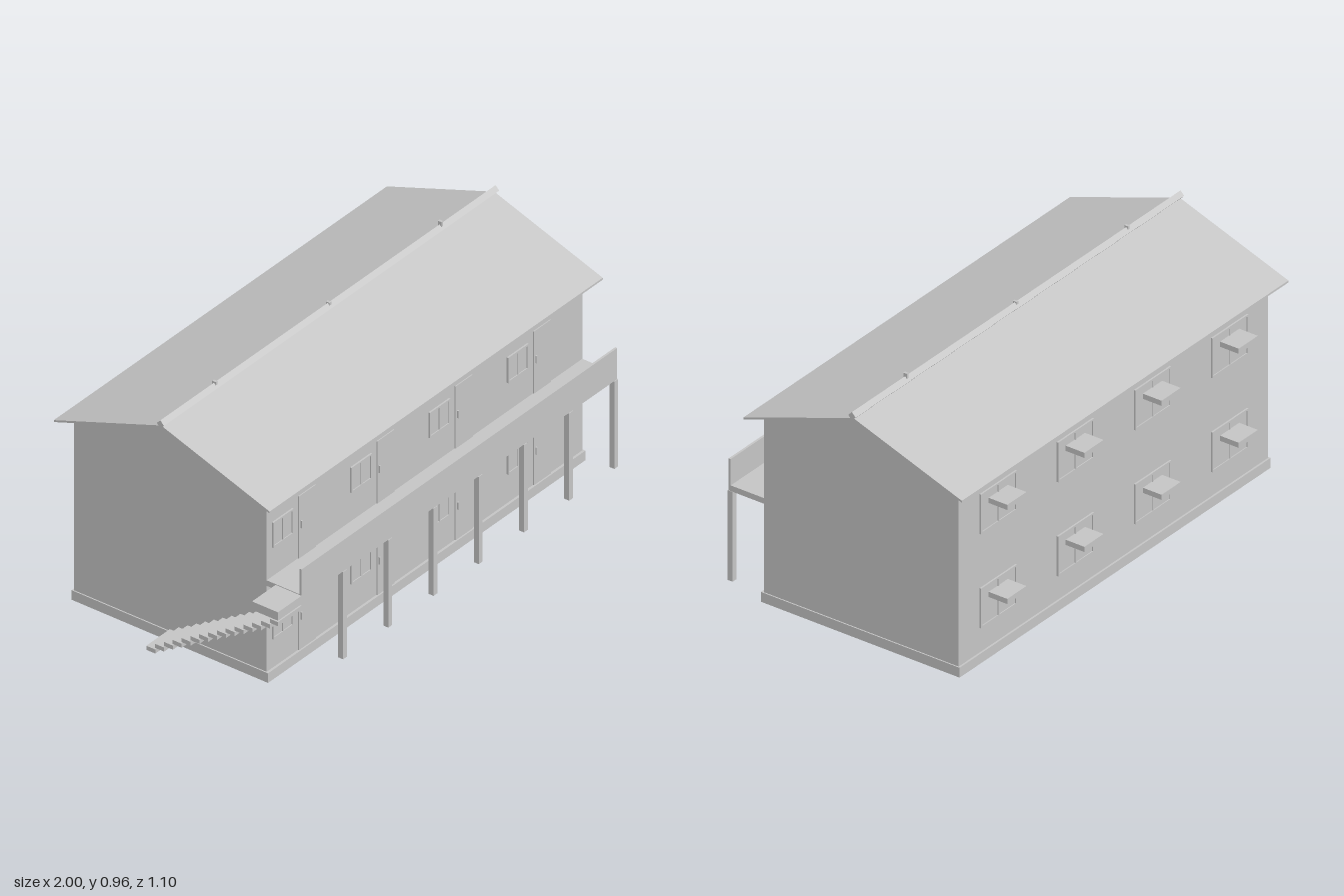
import * as THREE from 'three';

export function createModel() {
  const model = new THREE.Group();
  const grey = new THREE.MeshStandardMaterial({ color: 0xc4c4c4 });
  grey.name = 'plain grey';

  const add = (name, geometry) => {
    const mesh = new THREE.Mesh(geometry, grey);
    mesh.name = name;
    model.add(mesh);
    return mesh;
  };
  // box given by its limits on each axis
  const box = (name, x0, x1, y0, y1, z0, z1) => {
    const g = new THREE.BoxGeometry(x1 - x0, y1 - y0, z1 - z0);
    g.translate((x0 + x1) / 2, (y0 + y1) / 2, (z0 + z1) / 2);
    return add(name, g);
  };
  // outline in (z, y) swept along x
  const sweep = (name, points, x0, x1) => {
    const shape = new THREE.Shape(points.map(([z, y]) => new THREE.Vector2(z, y)));
    const g = new THREE.ExtrudeGeometry(shape, { depth: x1 - x0, bevelEnabled: false });
    g.rotateY(-Math.PI / 2);
    g.translate(x1, 0, 0);
    return add(name, g);
  };
  // four thin bars and a centre mullion around a pane
  const windowUnit = (name, cx, w, y0, y1, zWall, out) => {
    const t = 0.007;
    const bar = (part, x0, x1, b, c, d) => {
      const z = zWall + out * d;
      box(name + part, x0, x1, b, c, Math.min(zWall, z), Math.max(zWall, z));
    };
    const l = cx - w / 2, r = cx + w / 2;
    bar('Pane', l + t, r - t, y0 + t, y1 - t, 0.003);
    bar('FrameLeft', l, l + t, y0, y1, 0.007);
    bar('FrameRight', r - t, r, y0, y1, 0.007);
    bar('FrameBottom', l + t, r - t, y0, y0 + t, 0.007);
    bar('FrameTop', l + t, r - t, y1 - t, y1, 0.007);
    bar('Mullion', cx - t / 2, cx + t / 2, y0 + t, y1 - t, 0.006);
  };

  // plinth and gabled walls
  box('plinth', -0.87, 0.945, 0, 0.04, -0.473, 0.4);
  sweep('walls', [[0.39, 0.02], [0.39, 0.764], [-0.04, 0.915], [-0.465, 0.765], [-0.465, 0.02]], -0.865, 0.94);

  // roof slabs, ridge cap and ridge studs
  sweep('roof', [
    [0.442, 0.749], [0.442, 0.757], [-0.04, 0.925], [-0.517, 0.757],
    [-0.517, 0.749], [-0.04, 0.916],
  ], -0.915, 0.99);
  sweep('ridgeCap', [[-0.022, 0.934], [-0.038, 0.951], [-0.054, 0.934], [-0.038, 0.917]], -0.922, 0.995);
  [[-0.61, 0.956], [0.04, 0.954], [0.68, 0.963]].forEach(([x, top]) =>
    box('ridgeStud', x - 0.005, x + 0.005, 0.935, top, -0.046, -0.03));

  // balcony and its posts
  box('balconySlab', -0.865, 0.94, 0.4, 0.423, 0.39, 0.545);
  box('balconyParapet', -0.865, 0.94, 0.423, 0.53, 0.536, 0.545);
  for (let i = 0; i < 7; i++) {
    const x = -0.62 + i * 0.2585;
    box('balconyPost', x - 0.011, x + 0.011, 0.035, 0.4, 0.526, 0.548);
  }

  // side landing and open stair
  box('stairLanding', -1, -0.865, 0.385, 0.42, 0.43, 0.545);
  for (let i = 0; i < 15; i++) {
    const z = -0.02 + i * 0.0392, y = 0.038 + i * 0.0237;
    box('stairTread', -1, -0.865, y - 0.008, y + 0.009, z - 0.02, Math.min(z + 0.02, 0.545));
  }

  // each floor has four bays on the front and back
  [0, 0.383].forEach((floor) => {
    for (let i = 0; i < 4; i++) {
      const fx = -0.777 + i * 0.4477;
      windowUnit('frontWindow', fx, 0.117, 0.162 + floor, 0.268 + floor, 0.39, 1);
      box('frontDoor', fx + 0.092, fx + 0.19, 0.04 + floor, 0.3 + floor, 0.39, 0.394);
      box('doorHandle', fx + 0.1, fx + 0.106, 0.165 + floor, 0.195 + floor, 0.394, 0.4);

      const bx = -0.637 + i * 0.45;
      windowUnit('backWindow', bx, 0.21, 0.14 + floor, 0.302 + floor, -0.465, -1);
      box('backCanopy', bx - 0.056, bx + 0.056, 0.244 + floor, 0.265 + floor, -0.55, -0.465);
    }
  });

  return model;
}
